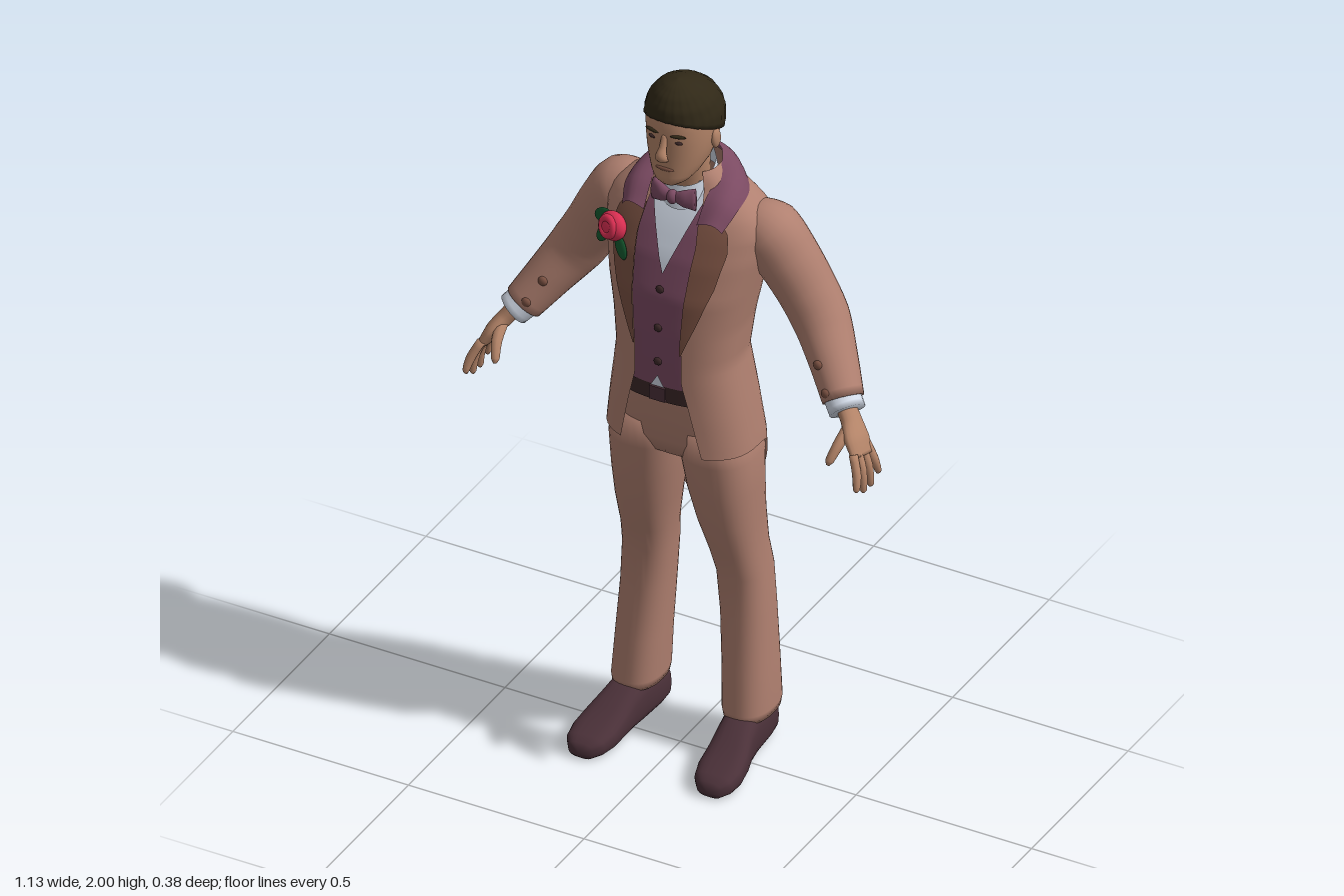
import * as THREE from 'three';
import { mergeVertices } from 'three/addons/utils/BufferGeometryUtils.js';

const mat = (name, color) => {
  const m = new THREE.MeshStandardMaterial({ color, side: THREE.DoubleSide });
  m.name = name;
  return m;
};
const V = (p) => new THREE.Vector3(...p);
const spow = (v, p) => Math.sign(v) * Math.abs(v) ** p;

// Linear lookup in a table of [key, value...] rows sorted by key
function at(table, key, col = 1) {
  let i = 1;
  while (i < table.length - 1 && key > table[i][0]) i++;
  const a = table[i - 1], b = table[i];
  const t = THREE.MathUtils.clamp((key - a[0]) / (b[0] - a[0]), 0, 1);
  return a[col] + (b[col] - a[col]) * t;
}

// Smooth sheet from a function (column, row) -> [x, y, z]
function sheet(nu, nv, fn) {
  const pos = [], idx = [];
  for (let j = 0; j <= nv; j++) for (let i = 0; i <= nu; i++) pos.push(...fn(i, j));
  for (let j = 0; j < nv; j++) for (let i = 0; i < nu; i++) {
    const a = j * (nu + 1) + i, b = a + nu + 1;
    idx.push(a, b, a + 1, b, b + 1, a + 1);
  }
  const g = new THREE.BufferGeometry();
  g.setAttribute('position', new THREE.Float32BufferAttribute(pos, 3));
  g.setIndex(idx);
  const m = mergeVertices(g, 1e-5);
  m.computeVertexNormals();
  return m;
}

// Closed body from rows [y, xMin, xMax, zBack, zFront], capped at both ends
function loft(rows, n = 2.3, seg = 36) {
  return sheet(seg, rows.length + 1, (i, j) => {
    const [y, x0, x1, zb, zf] = rows[THREE.MathUtils.clamp(j - 1, 0, rows.length - 1)];
    const k = j === 0 || j === rows.length + 1 ? 0 : 0.5;
    const a = (i / seg) * Math.PI * 2;
    return [(x0 + x1) / 2 + (x1 - x0) * k * spow(Math.sin(a), 2 / n), y,
      (zb + zf) / 2 + (zf - zb) * k * spow(Math.cos(a), 2 / n)];
  });
}

// Capped limb along points, radii [towards z, across]
function limb(points, radii, steps = 16, seg = 18) {
  const curve = new THREE.CatmullRomCurve3(points.map(V));
  const table = radii.map((r, i) => [i / (radii.length - 1), ...r]);
  return sheet(seg, steps + 2, (i, j) => {
    const t = THREE.MathUtils.clamp((j - 1) / steps, 0, 1);
    const c = curve.getPoint(t), T = curve.getTangent(t);
    const S = new THREE.Vector3(0, 0, 1).addScaledVector(T, -T.z).normalize();
    const N = T.clone().cross(S);
    const k = j === 0 || j === steps + 2 ? 0 : 1, a = (i / seg) * Math.PI * 2;
    return c.addScaledVector(S, k * at(table, t, 1) * Math.cos(a))
      .addScaledVector(N, k * at(table, t, 2) * Math.sin(a)).toArray();
  });
}

// Torso: [y, half width, front z, back z]
const TORSO = [[0.62, 0.195, 0.115, -0.19], [0.85, 0.204, 0.115, -0.186], [0.94, 0.203, 0.116, -0.18],
  [1.05, 0.188, 0.12, -0.17], [1.2, 0.166, 0.122, -0.152], [1.3, 0.176, 0.122, -0.17], [1.4, 0.195, 0.117, -0.184],
  [1.5, 0.215, 0.09, -0.186], [1.57, 0.222, 0.06, -0.182], [1.61, 0.208, 0.04, -0.174], [1.64, 0.172, 0.022, -0.164],
  [1.67, 0.128, 0.006, -0.154], [1.72, 0.075, 0, -0.135]];
// Half width of the jacket opening by height
const OPEN = [[0.94, 0.115], [1.08, 0.085], [1.16, 0.065], [1.26, 0.066], [1.4, 0.075], [1.55, 0.085],
  [1.62, 0.076], [1.68, 0.065], [1.72, 0.055]];
// Jacket hem height by angle from the middle of the back, with the tail slit
const HEM = [[0, 0.9], [0.05, 0.76], [0.11, 0.64], [0.25, 0.62], [0.45, 0.645], [0.7, 0.71], [0.95, 0.785],
  [1.25, 0.87], [1.5, 0.92], [1.75, 0.935], [3.14, 0.94]];
const NT = 2.5;

function frontZ(x, y) {
  const w = at(TORSO, y, 1), f = at(TORSO, y, 2), b = at(TORSO, y, 3);
  const r = Math.min(1, Math.abs(x) / w);
  return (f + b) / 2 + ((f - b) / 2) * (1 - r ** NT) ** (1 / NT);
}

// Cloth lying on the front of the torso between two edges
const frontPatch = (y1, y0, xa, xb, off, nu = 10, nv = 24) => sheet(nu, nv, (i, j) => {
  const y = y1 + ((y0 - y1) * j) / nv;
  const x = THREE.MathUtils.lerp(xa(y), xb(y), i / nu);
  return [x, y, frontZ(x, y) + off];
});

function jacketBody() {
  const H = 28, R = 44;
  return sheet(2 * H, R, (i, j) => {
    const side = i <= H ? 1 : -1, k = i <= H ? i / H : (2 * H - i) / H;
    const u = 1 - (1 - k) ** 1.6;
    const y = THREE.MathUtils.lerp(1.72, at(HEM, Math.PI * (1 - u)), (j / R) ** 1.2);
    const w = at(TORSO, y, 1), f = at(TORSO, y, 2), b = at(TORSO, y, 3);
    const a0 = Math.asin((at(OPEN, y) / w) ** (NT / 2));
    const a = THREE.MathUtils.lerp(a0, Math.PI, u);
    return [side * w * spow(Math.sin(a), 2 / NT), y, (f + b) / 2 + ((f - b) / 2) * spow(Math.cos(a), 2 / NT)];
  });
}

function hairCap() {
  // [y, half width, front z, back z]
  const T = [[1.8, 0.088, 0.088, -0.13], [1.85, 0.098, 0.09, -0.138], [1.9, 0.098, 0.09, -0.133], [1.94, 0.085, 0.086, -0.11],
    [1.97, 0.062, 0.07, -0.075], [1.99, 0.034, 0.046, -0.03], [2, 0, 0.015, 0.015]];
  const R = 16, S = 72;
  return sheet(S, R + 1, (i, j) => {
    const a = (i / S) * Math.PI * 2, c = Math.cos(a);
    const hem = 1.858 + 0.052 * c;
    const y = THREE.MathUtils.lerp(2, hem, Math.min(1, j / R) ** 1.7);
    const f = at(T, y, 2), b = at(T, y, 3);
    const k = j > R ? 0.88 : 1 + 0.012 * Math.sin(a * 24);
    return [at(T, y, 1) * k * Math.sin(a), y, (f + b) / 2 + ((f - b) / 2) * k * c];
  });
}

function shoe() {
  // [z, centre x, half width, height]
  const rows = [[-0.17, 0.152, 0, 0.06], [-0.168, 0.152, 0.028, 0.08], [-0.155, 0.153, 0.042, 0.105], [-0.11, 0.155, 0.05, 0.12],
    [-0.03, 0.16, 0.052, 0.132], [0.02, 0.166, 0.053, 0.115], [0.07, 0.174, 0.059, 0.088], [0.12, 0.179, 0.062, 0.068],
    [0.16, 0.182, 0.054, 0.054], [0.185, 0.183, 0.035, 0.044], [0.196, 0.183, 0, 0.035]];
  return sheet(24, rows.length - 1, (i, j) => {
    const [z, cx, hw, h] = rows[j], a = (i / 24) * Math.PI * 2, k = hw ? 1 : 0;
    return [cx + hw * spow(Math.cos(a), 0.7), h / 2 + k * (h / 2) * spow(Math.sin(a), 0.7), z];
  });
}

function jacketCollar() {
  const inner = [[0, 1.745, -0.125], [0.06, 1.738, -0.105], [0.082, 1.705, -0.05], [0.078, 1.66, 0.012], [0.075, 1.605, 0.054]];
  const outer = [[0, 1.665, -0.168], [0.085, 1.665, -0.155], [0.15, 1.655, -0.085], [0.158, 1.635, -0.005], [0.142, 1.595, 0.044]];
  const full = (p) => new THREE.CatmullRomCurve3([...p.slice(1).reverse().map(([x, y, z]) => [-x, y, z]), ...p].map(V));
  const a = full(inner), b = full(outer);
  return sheet(40, 6, (i, j) => {
    const t = j / 6, p = a.getPoint(i / 40).lerp(b.getPoint(i / 40), t), bulge = 0.016 * Math.sin(Math.PI * t);
    return [p.x * (1 + bulge * 4), p.y + bulge, p.z + bulge * 0.3 * Math.sign(p.z + 0.06)];
  });
}

export function createModel() {
  const model = new THREE.Group();
  const suit = mat('suitTan', 0xb08070), brown = mat('lapelBrown', 0x7a5142), plum = mat('vestPlum', 0x7b4a62);
  const white = mat('shirtWhite', 0xd3dbe8), skin = mat('skin', 0xb58569), hair = mat('hairDark', 0x302817);
  const leather = mat('shoeLeather', 0x4b3139), red = mat('roseRed', 0xd92f52), green = mat('leafGreen', 0x14592f);
  const dark = mat('beltDark', 0x3c2828);
  const add = (parent, name, geo, material, p = [0, 0, 0], s = [1, 1, 1], r = [0, 0, 0]) => {
    const m = new THREE.Mesh(geo, material);
    m.name = name;
    m.position.set(...p); m.scale.set(...s); m.rotation.set(...r);
    parent.add(m);
    return m;
  };
  const ball = new THREE.SphereGeometry(1, 20, 14);

  // Head and neck
  add(model, 'head', loft([[1.715, -0.026, 0.026, 0.02, 0.074], [1.728, -0.046, 0.046, -0.02, 0.084], [1.745, -0.06, 0.06, -0.05, 0.086],
    [1.775, -0.075, 0.075, -0.085, 0.084], [1.81, -0.084, 0.084, -0.105, 0.085], [1.84, -0.089, 0.089, -0.12, 0.085],
    [1.88, -0.091, 0.091, -0.127, 0.086], [1.92, -0.088, 0.088, -0.115, 0.08], [1.95, -0.07, 0.07, -0.09, 0.066], [1.975, -0.04, 0.04, -0.04, 0.04]], 2.2), skin);
  add(model, 'neck', limb([[0, 1.6, -0.06], [0, 1.69, -0.045], [0, 1.79, -0.025]], [[0.056, 0.056], [0.054, 0.055], [0.06, 0.06]]), skin);
  add(model, 'nose', limb([[0, 1.868, 0.08], [0, 1.835, 0.092], [0, 1.812, 0.1], [0, 1.795, 0.084]],
    [[0.006, 0.008], [0.009, 0.01], [0.013, 0.017], [0.006, 0.012]]), skin);
  add(model, 'hair', hairCap(), hair);
  add(model, 'mouth', ball, brown, [0, 1.768, 0.082], [0.026, 0.006, 0.006]);

  // Torso clothes
  add(model, 'jacket', jacketBody(), suit);
  add(model, 'jacketCollar', jacketCollar(), plum);
  add(model, 'shirtFront', frontPatch(1.69, 1.12, () => -0.07, () => 0.07, -0.015), white);
  add(model, 'shirtCollar', sheet(36, 4, (i, j) => {
    const a = (i / 36) * Math.PI * 2, top = 1.71 - 0.03 * Math.cos(a), k = 1 + 0.05 * j;
    return [0.064 * k * Math.sin(a), top - 0.016 * j, -0.05 + 0.066 * k * Math.cos(a)];
  }), white);
  add(model, 'belt', frontPatch(1.138, 1.092, () => -0.1, () => 0.1, -0.004, 16, 2), dark);
  add(model, 'buckle', new THREE.BoxGeometry(0.044, 0.04, 0.008), leather, [0, 1.115, 0.119]);
  add(model, 'shirtGap', new THREE.CircleGeometry(0.022, 3), white, [0, 1.148, 0.1195], [1, 1, 1], [0, 0, Math.PI / 2]);
  for (const y of [1.42, 1.31, 1.21]) add(model, 'vestButton', ball, dark, [0, y, frontZ(0, y) - 0.004], [0.011, 0.011, 0.006]);
  add(model, 'bowKnot', ball, plum, [0, 1.66, 0.042], [0.015, 0.02, 0.016]);

  // Hips
  add(model, 'trouserTop', loft([[0.9, -0.17, 0.17, -0.13, 0.06], [0.95, -0.188, 0.188, -0.145, 0.082], [1.02, -0.175, 0.175, -0.145, 0.096],
    [1.08, -0.16, 0.16, -0.135, 0.104], [1.14, -0.15, 0.15, -0.125, 0.106]], 2.5), suit);

  // Rose on the right lapel
  const rose = new THREE.Group();
  rose.name = 'rose';
  rose.position.set(-0.155, 1.538, 0.068);
  rose.rotation.set(-0.25, -0.4, 0);
  model.add(rose);
  add(rose, 'roseHeart', ball, red, [0, 0, 0], [0.044, 0.038, 0.026]);
  add(rose, 'rosePetals', new THREE.TorusGeometry(0.022, 0.011, 10, 20), red, [0, 0, 0.016]);
  [[-0.045, 0.012, 0.3], [-0.035, -0.03, 0.9], [0.035, -0.045, -0.9]].forEach(([x, y, r]) =>
    add(rose, 'roseLeaf', ball, green, [x, y, -0.004], [0.034, 0.019, 0.006], [0, 0, r]));

  // Mirrored halves
  for (const side of [1, -1]) {
    const half = new THREE.Group();
    half.name = side > 0 ? 'leftHalf' : 'rightHalf';
    half.scale.x = side;
    model.add(half);

    // Face details
    add(half, 'ear', ball, skin, [0.09, 1.83, -0.02], [0.01, 0.03, 0.018], [0.15, 0, 0]);
    add(half, 'eye', ball, dark, [0.035, 1.852, 0.077], [0.013, 0.005, 0.005]);
    add(half, 'eyebrow', ball, hair, [0.037, 1.872, 0.08], [0.021, 0.0045, 0.005], [0, 0.2, 0.05]);

    // Lapel, vest half and bow wing
    const lapelEdge = [[1.25, 0.068], [1.35, 0.108], [1.45, 0.143], [1.54, 0.162], [1.585, 0.157], [1.62, 0.13]];
    add(half, 'lapel', frontPatch(1.62, 1.25, (y) => at(OPEN, y) - 0.002, (y) => at(lapelEdge, y), 0.008), brown);
    const vestEdge = [[1.46, 0], [1.64, 0.068]];
    add(half, 'vest', frontPatch(1.64, 1.125, (y) => at(vestEdge, y), () => 0.11, -0.007, 10, 40), plum);
    add(half, 'bowWing', limb([[0.004, 1.66, 0.038], [0.03, 1.661, 0.038], [0.06, 1.662, 0.03]],
      [[0.009, 0.012], [0.015, 0.024], [0.011, 0.033]], 8), plum);

    // Arm
    add(half, 'sleeve', limb([[0.15, 1.575, -0.08], [0.205, 1.55, -0.086], [0.25, 1.485, -0.095], [0.3, 1.4, -0.104],
      [0.345, 1.325, -0.1], [0.4, 1.245, -0.062], [0.455, 1.165, -0.016]],
    [[0.06, 0.06], [0.083, 0.084], [0.082, 0.082], [0.079, 0.076], [0.077, 0.073], [0.066, 0.062], [0.055, 0.053]], 30, 24), suit);
    for (const p of [[0.392, 1.256, 0.001], [0.427, 1.195, 0.024]]) add(half, 'cuffButton', ball, brown, p, [0.013, 0.013, 0.009]);
    add(half, 'shirtCuff', limb([[0.445, 1.178, -0.022], [0.476, 1.145, 0]], [[0.05, 0.046], [0.049, 0.045]], 4), white);

    // Hand
    add(half, 'palm', limb([[0.462, 1.162, -0.008], [0.49, 1.125, 0.006], [0.515, 1.09, 0.024], [0.537, 1.052, 0.035]],
      [[0.028, 0.024], [0.032, 0.022], [0.045, 0.021], [0.043, 0.014]]), skin);
    [[0.068, 0.1, 0.985], [0.046, 0.064, 0.964], [0.023, 0.027, 0.962], [0.001, -0.012, 0.978]].forEach(([zb, zt, y]) =>
      add(half, 'finger', limb([[0.53, 1.07, zb], [0.55, 1.025, (zb + zt) / 2 + 0.003], [0.556, y + 0.008, zt], [0.555, y, zt]],
        [[0.012, 0.012], [0.012, 0.012], [0.009, 0.009], [0.004, 0.004]], 9, 10), skin));
    add(half, 'thumb', limb([[0.493, 1.115, 0.025], [0.486, 1.085, 0.068], [0.476, 1.05, 0.094], [0.474, 1.04, 0.1]],
      [[0.017, 0.016], [0.015, 0.014], [0.011, 0.011], [0.004, 0.004]], 9, 10), skin);

    // Leg and shoe
    add(half, 'trouserLeg', loft([[0.99, 0, 0.182, -0.14, 0.088], [0.9, 0.004, 0.2, -0.145, 0.078], [0.8, 0.018, 0.198, -0.145, 0.064],
      [0.7, 0.038, 0.195, -0.148, 0.043], [0.6, 0.058, 0.193, -0.158, 0.01], [0.52, 0.067, 0.201, -0.168, -0.016],
      [0.4, 0.076, 0.208, -0.17, -0.02], [0.25, 0.086, 0.217, -0.172, -0.007], [0.13, 0.092, 0.223, -0.175, 0.006],
      [0.108, 0.096, 0.22, -0.171, 0.003]], 2.4), suit);
    add(half, 'shoe', shoe(), leather);
  }
  return model;
}
